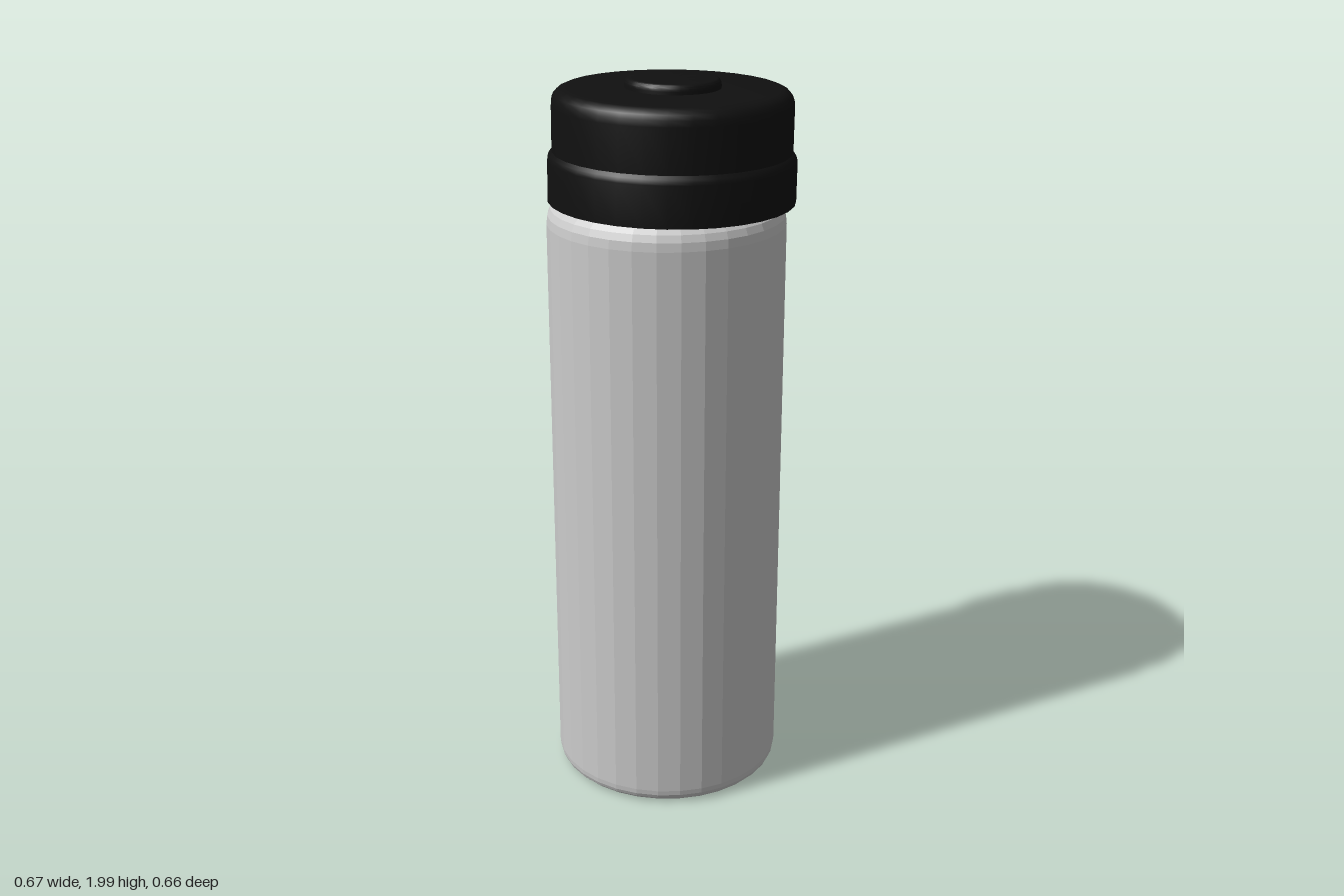
import * as THREE from 'three';
import { toCreasedNormals } from 'three/addons/utils/BufferGeometryUtils.js';

const SIDES = 32;

// Profile from corners [radius, height, rounding]; rounded corners become short curves
function profile(corners, steps = 5) {
  const pts = corners.map(([x, y]) => new THREE.Vector2(x, y));
  return pts.flatMap((p, i) => {
    const r = corners[i][2];
    if (!r) return [p];
    const toward = (q) => p.clone().add(q.clone().sub(p).setLength(r));
    return new THREE.QuadraticBezierCurve(toward(pts[i - 1]), p, toward(pts[i + 1])).getPoints(steps);
  });
}

function turned(name, corners, material, creased = true) {
  let geometry = new THREE.LatheGeometry(profile(corners), SIDES);
  if (creased) geometry = toCreasedNormals(geometry, 0.6);
  const mesh = new THREE.Mesh(geometry, material);
  mesh.name = name;
  return mesh;
}

export function createModel() {
  const model = new THREE.Group();
  model.name = 'bottle';
  const grey = new THREE.MeshStandardMaterial({ color: 0xcccccc, flatShading: true });
  const black = new THREE.MeshStandardMaterial({ color: 0x101010 });

  // Body with recessed base, rounded shoulder and a neck that runs up into the cap
  const body = turned('body', [
    [0, 0.06], [0.215, 0.06], [0.255, 0.005, 0.025], [0.32, 0.005, 0.04],
    [0.32, 1.685, 0.065], [0.27, 1.685], [0.27, 1.88], [0, 1.88],
  ], grey, false);
  body.position.set(-0.015, 0, 0.01);
  model.add(body);

  // Cap sits slightly off centre and tilted
  const cap = new THREE.Group();
  cap.name = 'cap';
  cap.position.set(0.004, 1.676, -0.003);
  cap.rotation.set(0, 0.04, -0.01);
  cap.add(
    turned('capShell', [
      [0, 0.22], [0.285, 0.22], [0.285, 0], [0.331, 0], [0.331, 0.122, 0.02],
      [0.319, 0.132], [0.319, 0.296, 0.045], [0, 0.296],
    ], black),
    turned('capButton', [
      [0.127, 0.28], [0.127, 0.322, 0.018], [0, 0.322],
    ], black),
  );
  model.add(cap);
  return model;
}
